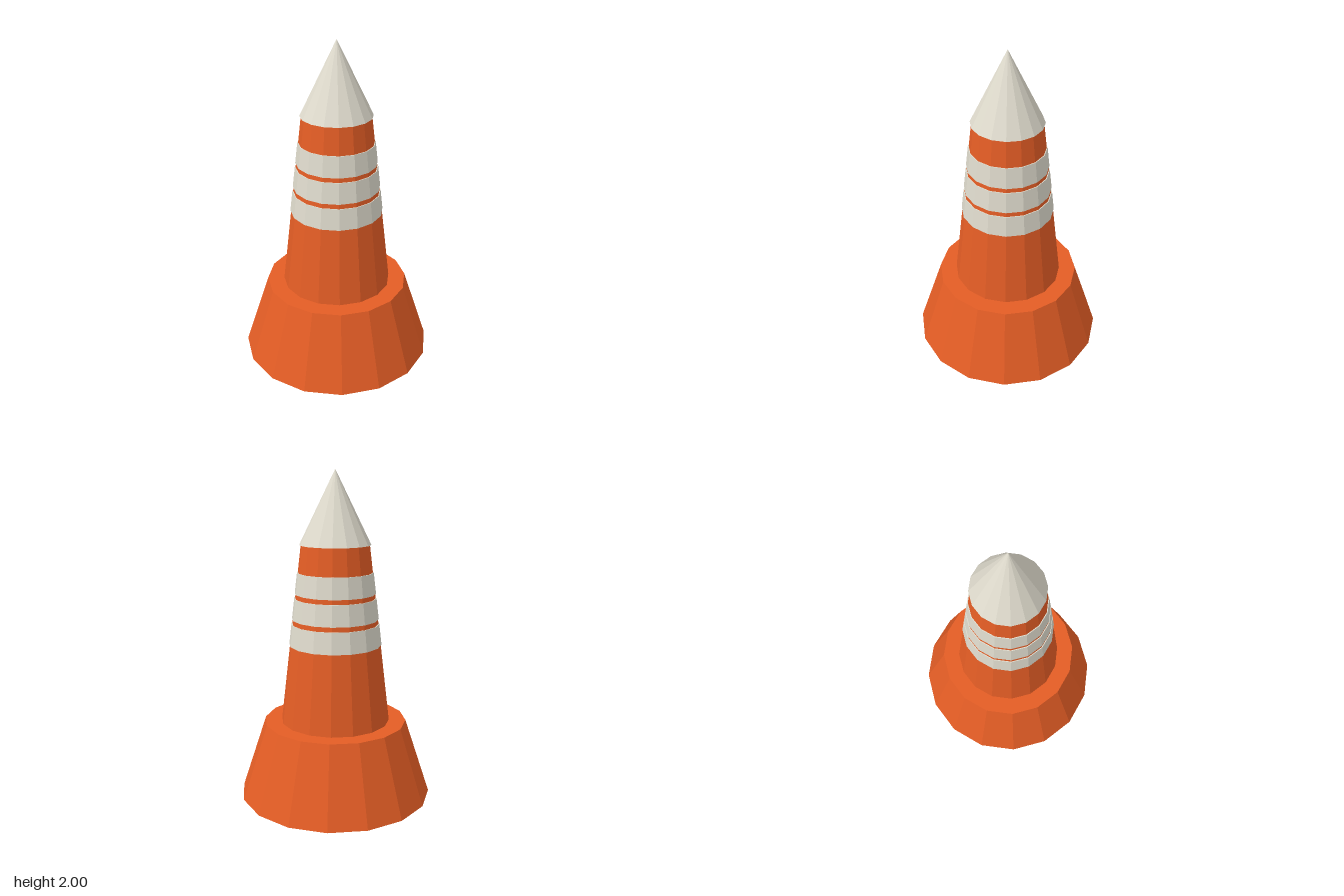
import * as THREE from 'three';

const SIDES = 16;

export function createModel() {
  const group = new THREE.Group();
  const orange = new THREE.MeshStandardMaterial({ color: 0xe45d25, flatShading: true });
  orange.name = 'orange';
  const offWhite = new THREE.MeshStandardMaterial({ color: 0xdfdbcd, flatShading: true });
  offWhite.name = 'offWhite';

  // Tapered faceted section standing between two heights
  function section(name, y0, y1, r0, r1, material) {
    const geometry = r1 > 0
      ? new THREE.CylinderGeometry(r1, r0, y1 - y0, SIDES)
      : new THREE.ConeGeometry(r0, y1 - y0, SIDES);
    const mesh = new THREE.Mesh(geometry, material);
    mesh.name = name;
    mesh.position.y = (y0 + y1) / 2;
    group.add(mesh);
  }

  const bodyBottom = 0.47, bodyTop = 1.56;
  const bodyRadius = (y) =>
    THREE.MathUtils.mapLinear(y, bodyBottom, bodyTop, 0.337, 0.207);

  // Flared base and tapered body
  section('base', 0, bodyBottom, 0.596, 0.441, orange);
  section('body', bodyBottom, bodyTop, bodyRadius(bodyBottom), bodyRadius(bodyTop), orange);

  // Three raised bands following the taper of the body
  [[0.953, 1.083], [1.112, 1.24], [1.268, 1.396]].forEach(([y0, y1], i) => {
    section(`band${i + 1}`, y0, y1, bodyRadius(y0) + 0.005, bodyRadius(y1) + 0.005, offWhite);
  });

  // Pointed tip, slightly wider than the body
  section('tip', bodyTop, 2, 0.216, 0, offWhite);

  return group;
}
